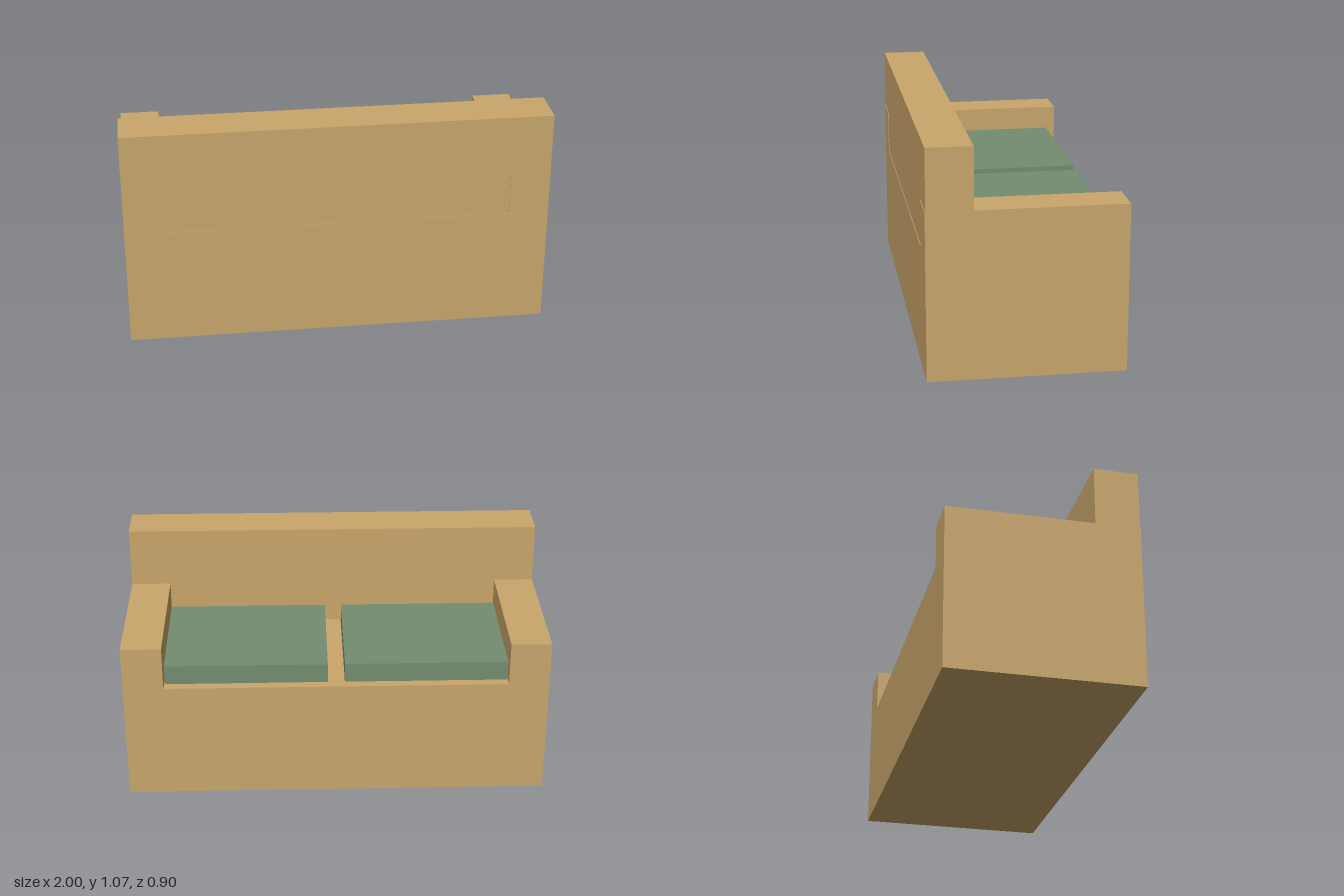
import * as THREE from 'three';

const SEAT = 0.572, ARM = 0.782, TOP = 1.068, INNER = 0.81;

// Extrude an outline in the xy plane from z0 to z1
function slab(name, points, z0, z1, material) {
  const shape = new THREE.Shape(points.map(([x, y]) => new THREE.Vector2(x, y)));
  const geometry = new THREE.ExtrudeGeometry(shape, { depth: z1 - z0, bevelEnabled: false });
  geometry.translate(0, 0, z0);
  const mesh = new THREE.Mesh(geometry, material);
  mesh.name = name;
  return mesh;
}

export function createModel() {
  const tan = new THREE.MeshStandardMaterial({ color: 0xc9a66b });
  tan.name = 'tan upholstery';
  const green = new THREE.MeshStandardMaterial({ color: 0x748d71 });
  green.name = 'sage cushion';

  const sofa = new THREE.Group();
  sofa.name = 'sofa';

  // Seat base and both arms as one U-shaped body
  sofa.add(slab('baseAndArms', [
    [-1, 0], [1, 0], [1, ARM], [INNER, ARM], [INNER, SEAT],
    [-INNER, SEAT], [-INNER, ARM], [-1, ARM],
  ], -0.451, 0.451, tan));

  // Backrest drops between the arms and rests on top of them, set in slightly at the rear
  sofa.add(slab('backrest', [
    [-INNER, SEAT], [INNER, SEAT], [INNER, ARM], [1, ARM],
    [1, TOP], [-1, TOP], [-1, ARM], [-INNER, ARM],
  ], 0.238, 0.448, tan));

  // Pair of seat cushions
  for (const side of [-1, 1]) {
    const cushion = new THREE.Mesh(new THREE.BoxGeometry(0.767, 0.095, 0.616), green);
    cushion.name = side > 0 ? 'leftCushion' : 'rightCushion';
    cushion.position.set(side * 0.4235, SEAT + 0.0475, -0.098);
    sofa.add(cushion);
  }
  return sofa;
}
